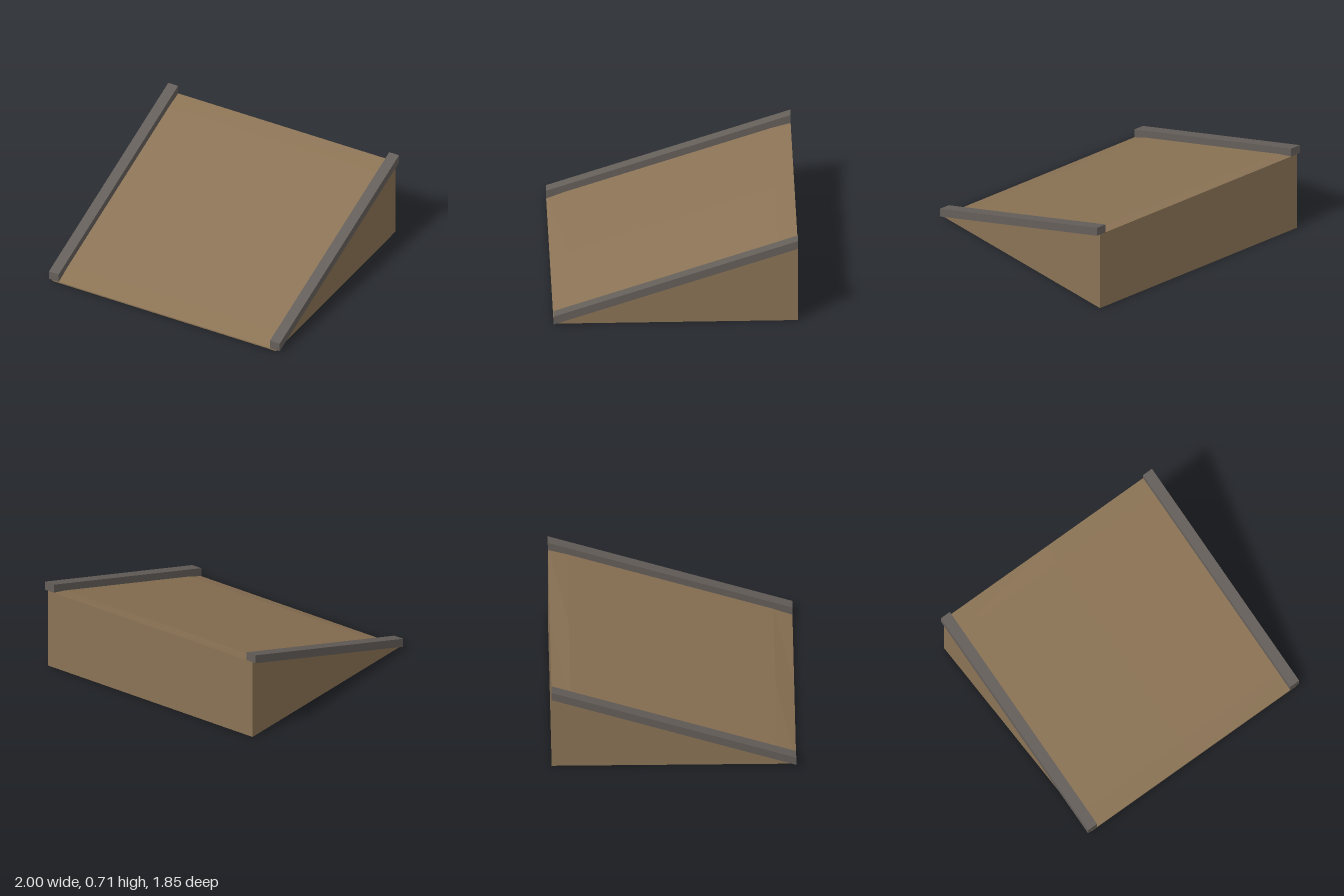
import * as THREE from 'three';

const DEPTH = 1.85;

// Straight slope line from the low front edge to the high back edge
const slopeY = (z) => 0.01 + 0.628 * (DEPTH / 2 - z) / DEPTH;

// Move every vertex of a geometry by a rule
function reshape(geometry, rule) {
  const pos = geometry.attributes.position;
  const v = new THREE.Vector3();
  for (let i = 0; i < pos.count; i++) {
    v.fromBufferAttribute(pos, i);
    rule(v);
    pos.setXYZ(i, v.x, v.y, v.z);
  }
  const flat = geometry.toNonIndexed();
  flat.computeVertexNormals();
  return flat;
}

export function createModel() {
  const wood = new THREE.MeshStandardMaterial({ name: 'brown wood', color: 0x8b7355 });
  const grey = new THREE.MeshStandardMaterial({ name: 'dark grey', color: 0x655f5a });
  const ramp = new THREE.Group();
  ramp.name = 'ramp';

  // Wedge body: a box whose top follows the slope, with a slight crown between the end strips
  const wedge = reshape(new THREE.BoxGeometry(1.94, 1, DEPTH, 2, 1, 3), (v) => {
    const inner = Math.abs(v.z) < DEPTH / 2 - 0.01;
    if (inner) v.z = Math.sign(v.z) * 0.78;
    const crown = inner ? (Math.abs(v.x) < 0.01 ? 0.016 : 0.008) : 0;
    v.y = v.y > 0 ? slopeY(v.z) + crown : 0;
  });
  const body = new THREE.Mesh(wedge, wood);
  body.name = 'wedgeBody';
  ramp.add(body);

  // Side rails: sheared boxes with upright ends, overhanging the body a little
  for (const side of [-1, 1]) {
    const railShape = reshape(new THREE.BoxGeometry(0.085, 0.068, DEPTH), (v) => {
      v.y += 0.034 + slopeY(v.z);
    });
    const rail = new THREE.Mesh(railShape, grey);
    rail.name = side > 0 ? 'leftRail' : 'rightRail';
    rail.position.x = side * 0.9575;
    ramp.add(rail);
  }

  return ramp;
}
